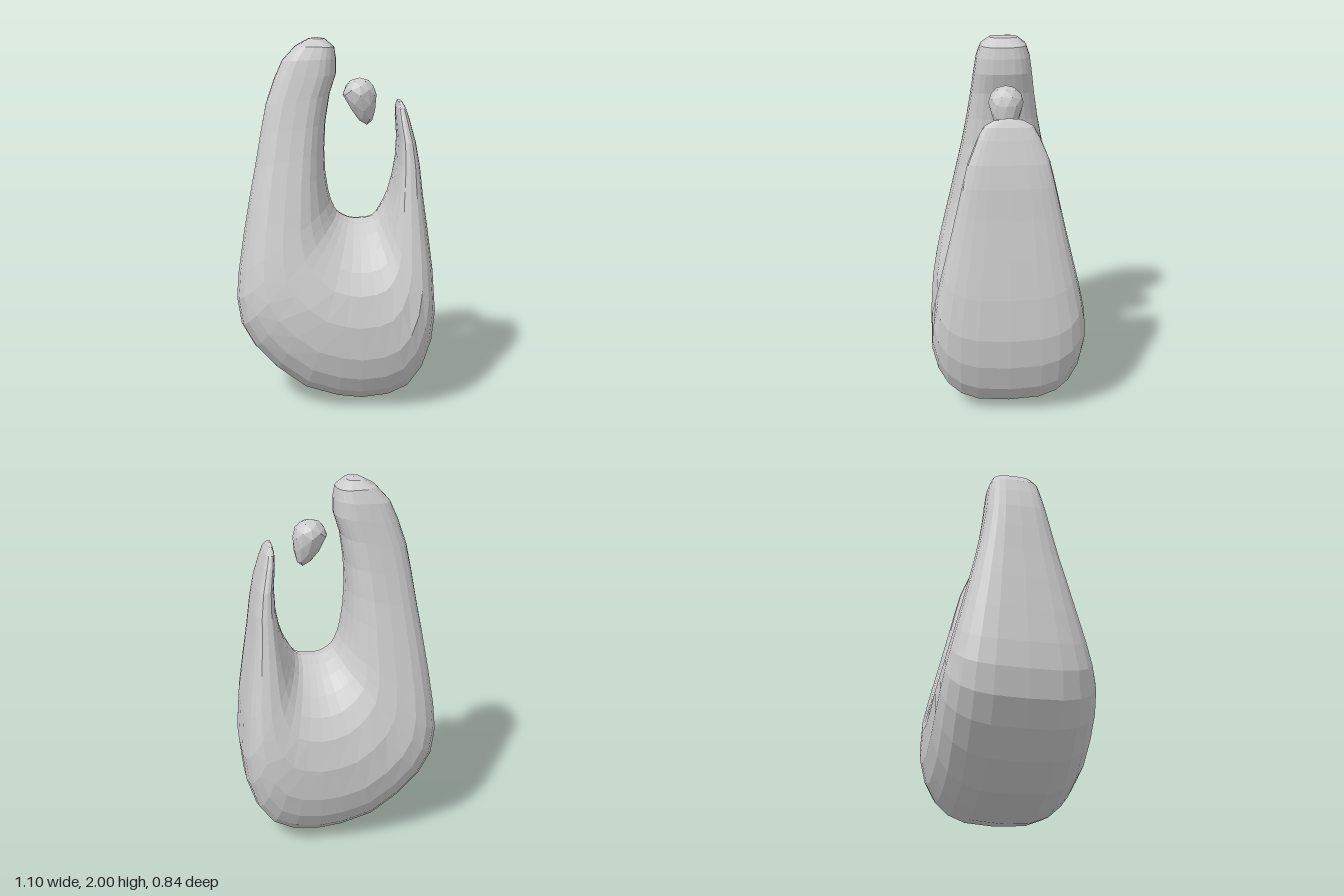
import * as THREE from 'three';

const material = new THREE.MeshStandardMaterial({ color: 0xcccccc, flatShading: true });

// Half depth of the body at each height: [y, depth]
const DEPTH = [[0, 0.425], [0.42, 0.427], [0.6, 0.41], [0.8, 0.365], [1, 0.315], [1.2, 0.268],
  [1.4, 0.222], [1.6, 0.185], [1.8, 0.158], [1.93, 0.138], [2, 0.12]];

function depthAt(y) {
  if (y <= 0) return DEPTH[0][1];
  for (let i = 1; i < DEPTH.length; i++) {
    const [y0, d0] = DEPTH[i - 1], [y1, d1] = DEPTH[i];
    if (y <= y1) return d0 + (d1 - d0) * (y - y0) / (y1 - y0);
  }
  return DEPTH[DEPTH.length - 1][1];
}

// Sections swept along the U, tall horn to short horn:
// [inner x, inner y, outer x, outer y, depth scale]
const SECTIONS = [
  [-0.06, 1.993, -0.15, 1.993, 0.6], [-0.01, 1.95, -0.22, 1.955, 0.92],
  [0, 1.89, -0.29, 1.88, 1], [0, 1.81, -0.335, 1.78, 1], [-0.035, 1.7, -0.38, 1.65, 1],
  [-0.058, 1.55, -0.41, 1.5, 1], [-0.065, 1.4, -0.44, 1.33, 1], [-0.06, 1.28, -0.475, 1.15, 1],
  [-0.045, 1.18, -0.51, 0.95, 1], [-0.03, 1.12, -0.54, 0.75, 1], [-0.01, 1.075, -0.552, 0.6, 1],
  [0.005, 1.05, -0.53, 0.45, 1], [0.025, 1.035, -0.46, 0.32, 1], [0.045, 1.025, -0.34, 0.19, 1],
  [0.07, 1.015, -0.18, 0.07, 1], [0.1, 1.01, 0, 0.015, 1], [0.125, 1.01, 0.14, 0, 1],
  [0.155, 1.012, 0.29, 0.02, 1], [0.185, 1.016, 0.4, 0.075, 1], [0.205, 1.025, 0.48, 0.19, 1],
  [0.225, 1.045, 0.53, 0.35, 1], [0.24, 1.07, 0.547, 0.52, 1], [0.26, 1.1, 0.53, 0.75, 1],
  [0.285, 1.15, 0.5, 0.97, 1], [0.31, 1.23, 0.47, 1.17, 1], [0.33, 1.34, 0.45, 1.33, 1],
  [0.335, 1.46, 0.428, 1.45, 0.98], [0.325, 1.57, 0.395, 1.57, 0.84],
  [0.325, 1.63, 0.375, 1.63, 0.7], [0.332, 1.662, 0.355, 1.662, 0.4],
];
const SIDES = 24;

// Lofts the horned body as one closed skin
function bodyGeometry() {
  const pos = [], index = [];
  for (const [ix, iy, ox, oy, k] of SECTIONS) {
    // squarish sections across the horns, rounder ones under the saddle
    const upright = (iy - oy) / Math.hypot(ix - ox, iy - oy);
    const innerN = 2.8 - 0.7 * upright, outerN = 3.5 - 0.6 * upright;
    for (let j = 0; j < SIDES; j++) {
      const a = (j / SIDES) * Math.PI * 2, c = Math.cos(a), s = Math.sin(a);
      const n = (innerN + outerN) / 2 + c * (innerN - outerN) / 2;
      const t = (1 - Math.sign(c) * Math.abs(c) ** (2 / n)) / 2;
      const y = iy + (oy - iy) * t;
      pos.push(ix + (ox - ix) * t, y, Math.sign(s) * Math.abs(s) ** (2 / n) * depthAt(y) * k);
    }
  }
  const rows = SECTIONS.length;
  const tallTip = rows * SIDES, shortTip = tallTip + 1;
  pos.push(-0.105, 2, 0, 0.344, 1.67, 0);
  for (let j = 0; j < SIDES; j++) {
    const k = (j + 1) % SIDES, last = (rows - 1) * SIDES;
    index.push(tallTip, k, j);
    for (let i = 0; i < rows - 1; i++) {
      const a = i * SIDES + j, b = i * SIDES + k;
      index.push(a, b, a + SIDES, b, b + SIDES, a + SIDES);
    }
    index.push(last + j, last + k, shortTip);
  }
  const g = new THREE.BufferGeometry();
  g.setAttribute('position', new THREE.Float32BufferAttribute(pos, 3));
  g.setIndex(index);
  g.computeVertexNormals();
  return g;
}

// Faceted drop, drawn out to a leaning point below
function dropGeometry() {
  const g = new THREE.IcosahedronGeometry(1, 1);
  const p = g.attributes.position;
  for (let i = 0; i < p.count; i++) {
    const y = p.getY(i), low = Math.max(0, -y);
    const r = 0.092 * (1 - 0.3 * low);
    p.setXYZ(i, p.getX(i) * r + 0.04 * low, y * (y < 0 ? 0.165 : 0.09), p.getZ(i) * r);
  }
  g.computeVertexNormals();
  return g;
}

export function createModel() {
  const group = new THREE.Group();

  const body = new THREE.Mesh(bodyGeometry(), material);
  body.name = 'hornedBody';
  group.add(body);

  const drop = new THREE.Mesh(dropGeometry(), material);
  drop.name = 'floatingDrop';
  drop.position.set(0.128, 1.695, 0);
  group.add(drop);

  return group;
}
